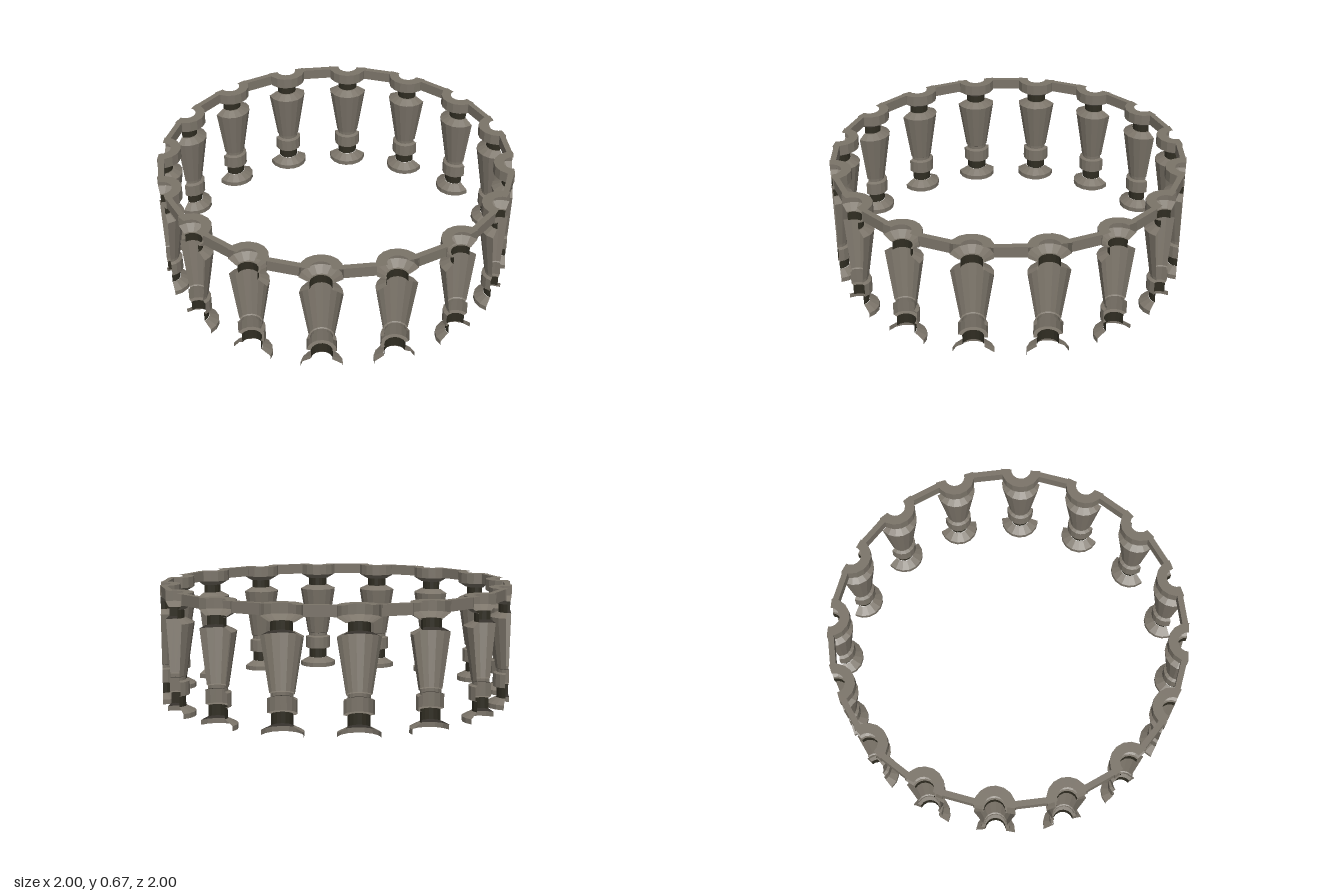
import * as THREE from 'three';

const COUNT = 16;
const RADIUS = 0.998;      // distance of each baluster axis from the centre
const HALF_STEP = Math.PI / COUNT;

const stone = new THREE.MeshStandardMaterial({ color: 0x7b7469, side: THREE.DoubleSide, flatShading: true });
stone.name = 'warm grey stone';
const dark = new THREE.MeshStandardMaterial({ color: 0x302d22, side: THREE.DoubleSide, flatShading: true });
dark.name = 'dark neck';

// Half-round turning, bulging towards the middle of the ring and open outside
function halfTurning(profile) {
  const points = profile.map(([r, y]) => new THREE.Vector2(r, y));
  return new THREE.LatheGeometry(points, 8, Math.PI / 2, Math.PI);
}

// [name, material, profile of (radius, height) from bottom to top]
const parts = [
  ['foot', stone, [[0.113, 0], [0.113, 0.027], [0.07, 0.05], [0.06, 0.055]]],
  ['lowerNeck', dark, [[0.058, 0.055], [0.058, 0.115]]],
  ['collar', stone, [[0.058, 0.115], [0.079, 0.118], [0.079, 0.193], [0.06, 0.2]]],
  ['vase', stone, [[0.06, 0.2], [0.06, 0.218], [0.067, 0.222], [0.113, 0.513], [0.066, 0.537], [0.058, 0.537]]],
  ['upperNeck', dark, [[0.058, 0.537], [0.058, 0.585]]],
  ['capital', stone, [[0.058, 0.585], [0.068, 0.585], [0.113, 0.612], [0.113, 0.674], [0.057, 0.674]]],
].map(([name, material, profile]) => ({ name, material, geometry: halfTurning(profile) }));

function createBaluster() {
  const baluster = new THREE.Group();
  baluster.name = 'baluster';
  for (const { name, material, geometry } of parts) {
    const mesh = new THREE.Mesh(geometry, material);
    mesh.name = name;
    baluster.add(mesh);
  }
  return baluster;
}

export function createModel() {
  const model = new THREE.Group();
  model.name = 'roundBalustrade';

  // Straight rail between the edges of two neighbouring capitals
  const railDistance = RADIUS * Math.cos(HALF_STEP);
  const railLength = 2 * (RADIUS * Math.sin(HALF_STEP) - 0.11);
  const railGeometry = new THREE.BoxGeometry(railLength, 0.06, 0.032);

  for (let i = 0; i < COUNT; i++) {
    const angle = 2 * i * HALF_STEP;

    const baluster = createBaluster();
    const a = angle + HALF_STEP;
    baluster.position.set(Math.sin(a) * RADIUS, 0, Math.cos(a) * RADIUS);
    baluster.rotation.y = a;
    model.add(baluster);

    const rail = new THREE.Mesh(railGeometry, stone);
    rail.name = 'rail';
    rail.position.set(Math.sin(angle) * railDistance, 0.644, Math.cos(angle) * railDistance);
    rail.rotation.y = angle;
    model.add(rail);
  }
  return model;
}
